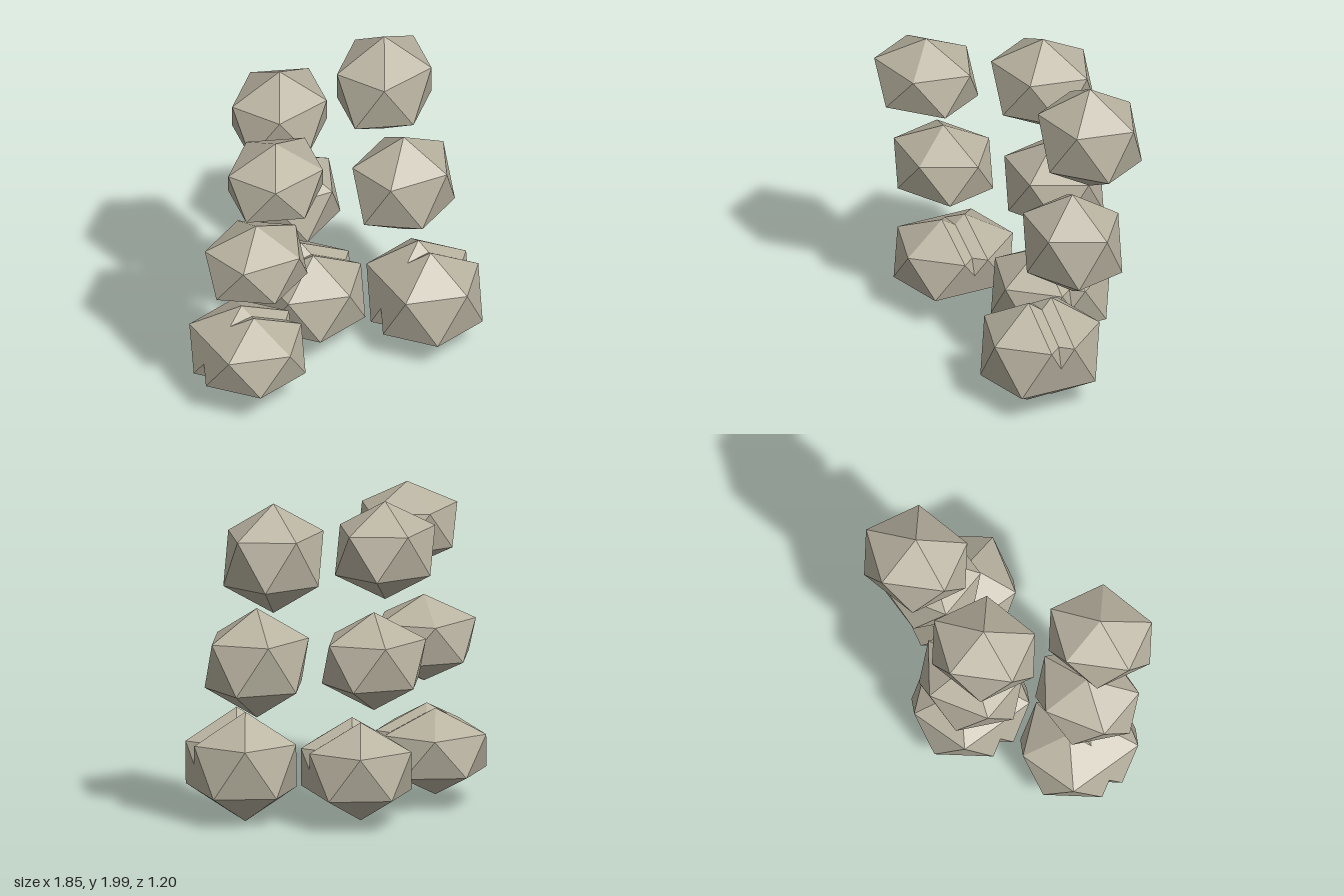
import * as THREE from 'three';

export function createModel() {
  const model = new THREE.Group();
  model.name = 'stoneStack';

  const stoneMaterial = new THREE.MeshStandardMaterial({ color: 0xb8b2a0, flatShading: true });
  stoneMaterial.name = 'warm grey stone';

  // Icosahedron standing on a corner, with an upper-ring corner on +x
  const golden = (1 + Math.sqrt(5)) / 2;
  const stone = new THREE.IcosahedronGeometry(1, 0).rotateZ(-Math.atan(1 / golden));

  const pivotZ = 0.03;
  const rowHeight = 0.663;
  const rowTurn = 0.25;

  // Three columns, each with its own stone height; z is relative to the pivot
  const columns = [
    { name: 'right', x: -0.6, z: 0, halfHeight: 0.263 },
    { name: 'middle', x: 0, z: -0.355, halfHeight: 0.298 },
    { name: 'left', x: 0.6, z: 0, halfHeight: 0.333 },
  ];

  function addStone(parent, name, column, z) {
    const mesh = new THREE.Mesh(stone, stoneMaterial);
    mesh.name = name;
    mesh.scale.set(0.361, column.halfHeight, 0.317);
    mesh.position.set(column.x, 0, z);
    parent.add(mesh);
  }

  // Each row is turned a little further about the pivot
  ['bottom', 'middle', 'top'].forEach((rowName, i) => {
    const row = new THREE.Group();
    row.name = rowName + 'Row';
    row.position.set(0, 0.338 + i * rowHeight, pivotZ);
    row.rotation.y = i * rowTurn;
    for (const column of columns) {
      addStone(row, column.name + 'Stone', column, column.z);
      // The bottom row has a second, overlapping stone in front
      if (i === 0) addStone(row, column.name + 'FrontStone', column, column.z + 0.15);
    }
    model.add(row);
  });

  return model;
}
